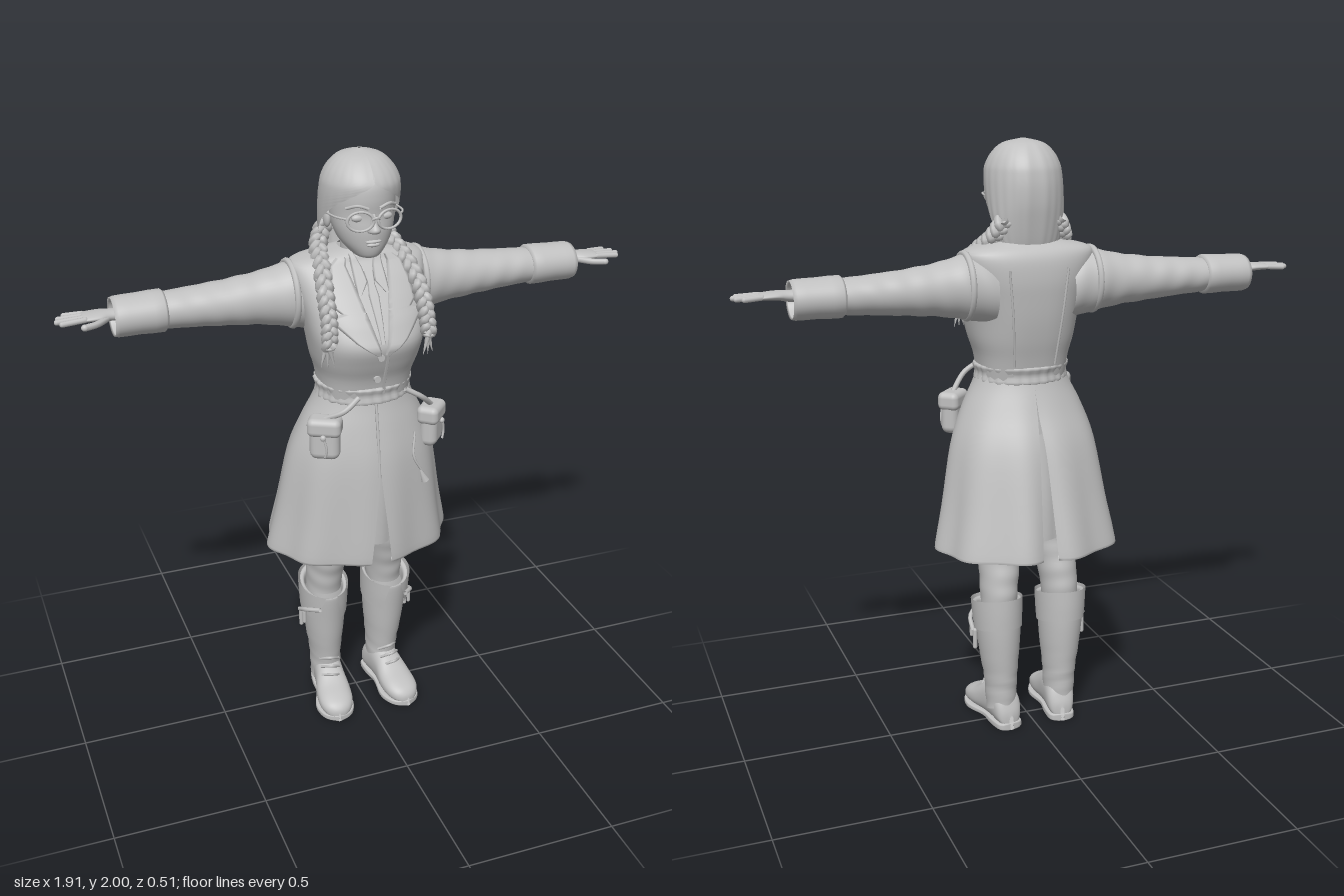
import * as THREE from 'three';
import { RoundedBoxGeometry } from 'three/addons/geometries/RoundedBoxGeometry.js';

const clay = new THREE.MeshStandardMaterial({ color: 0xc0c0c0, side: THREE.DoubleSide });
clay.name = 'plain grey';

const spline = (a, b, c, d, t) =>
  b + 0.5 * t * (c - a + t * (2 * a - 5 * b + 4 * c - d + t * (3 * (b - c) + d - a)));
const power = (v, p) => Math.sign(v) * Math.abs(v) ** p;

// Insert smooth in-between rings
function refine(rings, sub) {
  const out = [], at = i => rings[Math.max(0, Math.min(rings.length - 1, i))];
  for (let i = 0; i < rings.length - 1; i++)
    for (let s = 0; s < sub; s++)
      out.push(rings[i].map((v, k) => spline(at(i - 1)[k], v, at(i + 1)[k], at(i + 2)[k], s / sub)));
  out.push(rings[rings.length - 1]);
  return out;
}

// Surface through cross-sections: ring = [y, halfWidth, zFront, zBack, xCentre, startAngle, endAngle]
function loft(rings, { seg = 40, sub = 4, e = 2, fold = () => 1, tilt = 0, open = false } = {}) {
  const pos = [], index = [], rows = refine(rings, sub), cols = open ? seg + 1 : seg;
  for (const [y, rx, zf, zb, x = 0, a0 = 0, a1 = Math.PI * 2] of rows)
    for (let j = 0; j < cols; j++) {
      const a = a0 + (a1 - a0) * j / seg, f = fold(a, y);
      const c = power(Math.cos(a), 2 / e), s = power(Math.sin(a), 2 / e);
      pos.push(x + rx * f * s, y + tilt * c, (zf + zb) / 2 + (zf - zb) / 2 * f * c);
    }
  for (let i = 0; i < rows.length - 1; i++)
    for (let j = 0; j < seg; j++) {
      const k = (j + 1) % cols, p = i * cols, q = p + cols;
      index.push(p + j, p + k, q + k, p + j, q + k, q + j);
    }
  return finish(pos, index);
}

function finish(pos, index) {
  const g = new THREE.BufferGeometry();
  g.setAttribute('position', new THREE.Float32BufferAttribute(pos, 3));
  g.setIndex(index);
  g.computeVertexNormals();
  return g;
}

// Mirror across x and restore the corner order
function mirrored(geo) {
  const g = geo.clone().scale(-1, 1, 1);
  const n = g.attributes.position.count;
  const idx = g.index ? [...g.index.array] : Array.from({ length: n }, (_, i) => i);
  for (let i = 0; i < idx.length; i += 3) [idx[i + 1], idx[i + 2]] = [idx[i + 2], idx[i + 1]];
  g.setIndex(idx);
  return g;
}

const vec = p => new THREE.Vector3(...p);
const tube = (pts, r, n = 24) => new THREE.TubeGeometry(new THREE.CatmullRomCurve3(pts.map(vec)), n, r, 7);
const ball = (x, y, z, rx, ry, rz) => new THREE.SphereGeometry(1, 20, 14).scale(rx, ry, rz).translate(x, y, z);

const bodice = [
  [1.23, .146, .185, -.065], [1.3, .155, .2, -.08], [1.36, .172, .226, -.095], [1.43, .185, .246, -.108],
  [1.5, .197, .208, -.116], [1.56, .21, .165, -.12], [1.62, .222, .118, -.115], [1.655, .212, .085, -.1],
  [1.675, .14, .075, -.075], [1.69, .06, .06, -.055],
];
const bodiceE = 2.5;

// Front surface of the bodice at a given x and y
function chestZ(x, y) {
  let i = 0;
  while (i < bodice.length - 2 && bodice[i + 1][0] < y) i++;
  const A = bodice[i], B = bodice[i + 1], t = (y - A[0]) / (B[0] - A[0]);
  const [, rx, zf, zb] = A.map((v, k) => v + (B[k] - v) * t);
  const u = Math.min(1, Math.abs(x) / rx);
  return (zf + zb) / 2 + (zf - zb) / 2 * (1 - u ** bodiceE) ** (1 / bodiceE);
}

// Cloth laid over the chest: rows = [y, innerX, outerX], bottom to top
function drape(rows, off) {
  const pos = [], index = [], n = 8, fine = [];
  rows.forEach((r, i) => {
    if (i) for (const t of [.25, .5, .75]) fine.push(r.map((v, k) => rows[i - 1][k] + (v - rows[i - 1][k]) * t));
    fine.push(r);
  });
  // Row ends tuck back to the chest so the cloth has an edge
  for (const [y, a, b] of fine)
    for (let j = -1; j <= n + 1; j++) {
      const x = a + (b - a) * Math.max(0, Math.min(n, j)) / n;
      pos.push(x, y, chestZ(x, y) + (j < 0 || j > n ? -.01 : off));
    }
  const w = n + 3;
  for (let i = 0; i < fine.length - 1; i++)
    for (let j = 0; j < w - 1; j++) {
      const p = i * w + j;
      index.push(p, p + 1, p + w + 1, p, p + w + 1, p + w);
    }
  return finish(pos, index);
}

export function createModel() {
  const model = new THREE.Group();
  const add = (name, geo) => {
    const m = new THREE.Mesh(geo, clay);
    m.name = name;
    model.add(m);
  };
  const pair = (name, geo) => { add(name + 'Left', geo); add(name + 'Right', mirrored(geo)); };
  const PI = Math.PI;

  // Head and face
  add('neck', loft([[1.6, .065, .06, -.06], [1.66, .054, .07, -.05], [1.75, .054, .08, -.05]]));
  add('face', loft([[1.682, .004, .12, .1], [1.687, .035, .142, .06], [1.705, .056, .152, .02], [1.735, .08, .157, -.02],
    [1.775, .096, .16, -.05], [1.82, .104, .156, -.07], [1.87, .106, .16, -.08], [1.92, .1, .15, -.075],
    [1.965, .06, .1, -.03], [1.975, .005, .05, .04]]));
  add('nose', loft([[1.768, .004, .165, .14], [1.772, .019, .18, .13], [1.782, .019, .186, .13], [1.8, .012, .175, .13],
    [1.83, .008, .162, .13]]));
  add('upperLip', ball(0, 1.742, .153, .027, .006, .012));
  add('lowerLip', ball(0, 1.731, .152, .022, .007, .011));
  pair('eye', ball(.045, 1.815, .139, .021, .012, .012));
  pair('brow', tube([[.018, 1.846, .16], [.05, 1.856, .153], [.08, 1.845, .128]], .005));
  pair('ear', ball(.106, 1.795, .03, .012, .032, .02));

  // Hair, parted in the middle and open around the face
  add('hair', loft([[1.645, .085, -.0, -.07, 0, 1.95, 2 * PI - 1.95], [1.69, .108, .05, -.082, 0, 1.8, 2 * PI - 1.8],
    [1.75, .121, .09, -.094, 0, 1.6, 2 * PI - 1.6], [1.8, .126, .13, -.102, 0, 1.35, 2 * PI - 1.35],
    [1.85, .127, .157, -.104, 0, .95, 2 * PI - .95], [1.89, .125, .168, -.1, 0, .45, 2 * PI - .45],
    [1.92, .119, .165, -.092, 0, .02, 2 * PI - .02], [1.955, .1, .14, -.07, 0, 0, 2 * PI],
    [1.985, .065, .1, -.035, 0, 0, 2 * PI], [2, .004, .035, .025, 0, 0, 2 * PI]],
    { open: true, seg: 72, fold: a => 1 + .006 * Math.cos(24 * a) - .035 * Math.exp(-(((a - PI) / .12) ** 2)) }));

  // Three-strand braids with loose ends
  const path = new THREE.CatmullRomCurve3([[.085, 1.76, -.05], [.118, 1.7, -.02], [.138, 1.65, .07], [.155, 1.58, .155],
    [.16, 1.51, .2], [.165, 1.44, .215]].map(vec));
  for (let k = 0; k < 3; k++) {
    const pts = [];
    for (let i = 0; i <= 60; i++) {
      const t = i / 60, w = t * 2 * PI * 5 + k * 2 * PI / 3, p = path.getPoint(t), r = .018 - .006 * t;
      pts.push([p.x + r * Math.sin(w), p.y + r * .4 * Math.sin(2 * w), p.z + r * .8 * Math.sin(2 * w)]);
    }
    pair('braidStrand' + (k + 1), tube(pts, .0145, 110));
    pair('braidTip' + (k + 1), new THREE.ConeGeometry(.011, .075, 8).rotateX(PI)
      .rotateZ((k - 1) * .25).translate(.167 + (k - 1) * .011, 1.405, .212 - k * .008));
  }
  pair('braidTie', new THREE.TorusGeometry(.014, .006, 8, 16).rotateX(PI / 2).translate(.166, 1.44, .213));

  // Glasses
  pair('lensRim', new THREE.TorusGeometry(.035, .0045, 8, 32).scale(1.15, .85, 1).rotateY(.2).translate(.047, 1.812, .168));
  add('glassesBridge', tube([[-.012, 1.818, .177], [0, 1.823, .183], [.012, 1.818, .177]], .004));
  pair('glassesArm', tube([[.085, 1.82, .158], [.108, 1.82, .12], [.116, 1.815, .03]], .0035));

  // Coat bodice, belt and skirt
  add('coatBodice', loft(bodice, { seg: 56, e: bodiceE }));
  add('belt', loft([[1.215, .148, .188, -.07], [1.22, .158, .198, -.078], [1.245, .154, .194, -.074], [1.268, .161, .201, -.083],
    [1.273, .146, .18, -.07]], { seg: 120, sub: 3, fold: a => 1 + .012 * Math.sin(30 * a) + .006 * Math.sin(17 * a) }));
  const skirtFold = (a, y) => {
    const h = Math.max(0, Math.min(1, (1.2 - y) / .5));
    return 1 + .028 * h * Math.sin(9 * a + .6) - .1 * h * Math.exp(-(((PI - a) / .14) ** 2));
  };
  pair('coatSkirt', loft([[.67, .308, .236, -.24, 0, .11, PI - .09], [.664, .314, .246, -.248, 0, .11, PI - .09],
    [.8, .286, .243, -.217, 0, .07, PI - .075], [1, .25, .232, -.165, 0, 0, PI - .045],
    [1.12, .208, .212, -.112, 0, 0, PI - .01], [1.2, .168, .194, -.08, 0, 0, PI], [1.25, .148, .185, -.066, 0, 0, PI]],
    { open: true, seg: 60, fold: skirtFold }));
  add('underskirt', loft([[.69, .18, .18, -.13], [.85, .18, .18, -.12], [1.05, .17, .17, -.09]],
    { seg: 48, fold: a => 1 + .03 * Math.sin(12 * a) }));
  add('skirtFrontEdge', tube([[-.004, 1.22, .197], [-.004, 1.1, .218], [-.004, .97, .235]], .005));
  pair('backSeam', tube([[.1, 1.6, -.118], [.085, 1.45, -.108], [.07, 1.28, -.077]], .004));

  // Lapels, collars and front closing
  pair('lapel', drape([[1.405, .008, .02], [1.45, .018, .085], [1.515, .034, .155], [1.53, .038, .1]], .016));
  pair('coatCollar', drape([[1.532, .04, .115], [1.55, .043, .138], [1.6, .056, .132], [1.655, .07, .115], [1.674, .065, .09]], .014));
  pair('shirtCollar', drape([[1.575, .042, .05], [1.61, .012, .052], [1.65, .02, .05], [1.682, .035, .05]], .012));
  add('necktie', drape([[1.44, -.006, .006], [1.57, -.016, .016], [1.6, -.011, .011], [1.635, -.016, .016]], .007));
  add('coatFrontEdge', drape([[1.25, .018, .026], [1.405, .014, .022]], .007));
  for (const y of [1.31, 1.395])
    add('coatButton', new THREE.CylinderGeometry(.011, .011, .012, 16).rotateX(PI / 2).translate(-.006, y, chestZ(0, y) + .006));

  // Sleeves run along y, then turn to point sideways: [x, top, bottom, zFront, zBack]
  const along = rows => rows.map(([x, t, b, zf, zb]) => [x, (t - b) / 2, zf, zb, -(t + b) / 2]);
  pair('sleeve', loft(along([[.13, 1.63, 1.42, .08, -.11], [.22, 1.645, 1.437, .074, -.113], [.3, 1.627, 1.453, .057, -.106],
    [.42, 1.61, 1.465, .047, -.104], [.54, 1.6, 1.475, .04, -.1], [.65, 1.592, 1.482, .034, -.094]]),
    { sub: 10, fold: (a, y) => 1 + .018 * Math.sin(75 * y + 2 * Math.sin(a)) * Math.sin(a + 9 * y) }).rotateZ(-PI / 2));
  pair('cuff', loft(along([[.618, 1.59, 1.49, .03, -.09], [.625, 1.604, 1.472, .046, -.105], [.7, 1.601, 1.474, .044, -.102],
    [.768, 1.599, 1.473, .042, -.1], [.775, 1.59, 1.482, .034, -.092], [.7, 1.575, 1.495, .02, -.08]]),
    { sub: 2 }).rotateZ(-PI / 2));
  pair('armholeSeam', new THREE.TorusGeometry(.103, .011, 8, 40).rotateY(PI / 2).scale(1, 1, .92).translate(.217, 1.545, -.018));

  // Hands
  pair('palm', loft(along([[.7, 1.565, 1.525, .005, -.05], [.78, 1.566, 1.53, .008, -.046], [.82, 1.566, 1.538, .022, -.056],
    [.865, 1.562, 1.54, .02, -.056], [.875, 1.555, 1.545, .01, -.046]])).rotateZ(-PI / 2));
  [[.012, .07, .08], [-.008, .082, .02], [-.028, .075, -.05], [-.047, .055, -.14]].forEach(([z, len, turn], i) =>
    pair('finger' + (i + 1), new THREE.CapsuleGeometry(.0088, len, 6, 10).rotateZ(-PI / 2).translate(len / 2, 0, 0)
      .rotateZ(-.05).rotateY(-turn).translate(.866, 1.552, z)));
  pair('thumb', tube([[.8, 1.545, .005], [.835, 1.543, .035], [.875, 1.543, .053]], .0105));
  pair('thumbTip', ball(.875, 1.543, .053, .0115, .0105, .0105));

  // Belt pouches
  for (const [side, x, y, z, turn, beltX, beltZ] of [['Right', -.17, 1.125, .176, -.5, -.065, .195], ['Left', .212, 1.1, .142, .85, .1, .18]]) {
    const put = (name, g) => add(name + side, g.rotateY(turn).translate(x, y, z));
    put('pouch', new RoundedBoxGeometry(.098, .13, .06, 4, .025).translate(0, -.012, 0));
    put('pouchFlap', new RoundedBoxGeometry(.11, .062, .074, 4, .02).translate(0, .035, 0));
    put('pouchButton', ball(0, .008, .038, .01, .01, .008));
    put('pouchCord', tube([[.005, 0, .04], [.012, -.035, .04], [.006, -.06, .038]], .004));
    add('pouchStrap' + side, tube([[beltX, 1.25, beltZ + .006], [(beltX + x) / 2, 1.215, (beltZ + z) / 2 + .025], [x, y + .06, z]], .009));
  }
  add('hangingCord', tube([[.13, 1.1, .2], [.12, 1.02, .222], [.145, .97, .222]], .004));
  add('cordTassel', new THREE.ConeGeometry(.014, .06, 8).rotateZ(.4).translate(.15, .955, .222));

  // Trouser legs with soft creases
  pair('trouserLeg', loft([[.44, .06, .045, -.1, .112], [.5, .063, .055, -.1, .11], [.56, .067, .07, -.092, .105],
    [.66, .077, .094, -.076, .098], [.78, .088, .105, -.085, .096], [.95, .09, .11, -.09, .094]],
    { sub: 8, fold: (a, y) => 1 + .018 * Math.sin(90 * y + 2 * Math.cos(a)) * Math.cos(a - .5) }));

  // Boots
  pair('bootShaft', loft([[.06, .05, .025, -.098, .108], [.12, .053, .034, -.1, .108], [.18, .056, .037, -.105, .109],
    [.28, .068, .053, -.114, .112], [.36, .075, .064, -.118, .114], [.45, .08, .077, -.117, .116], [.458, .077, .073, -.113, .116],
    [.45, .066, .062, -.102, .115], [.41, .064, .056, -.1, .115]],
    { tilt: -.022, fold: (a, y) => 1 + (y < .25 ? .02 * Math.sin(110 * y + a) : 0) }));
  pair('bootCuff', loft([[.36, .081, .07, -.122, .115, .75, PI * 2 - .45], [.41, .084, .078, -.123, .116, .5, PI * 2 - .35],
    [.467, .087, .084, -.122, .117, .25, PI * 2 - .2]], { open: true, tilt: -.02 }));
  pair('bootStrap', tube([[.16, .4, .075], [.196, .385, .03], [.205, .36, -.02]], .008));
  pair('bootTassel', new THREE.CapsuleGeometry(.008, .06, 4, 8).translate(.198, .325, -.025));
  pair('bootTasselShort', new THREE.CapsuleGeometry(.007, .04, 4, 8).translate(.198, .345, .012));
  const place = g => g.rotateY(.12).translate(.108, 0, 0);
  const footRow = ([z, rx, h, low = .008]) => [z, rx, -low, -h, 0];
  pair('bootFoot', place(loft([[-.108, .008, .05], [-.1, .034, .08], [-.075, .048, .13], [-.02, .05, .155], [.035, .053, .135],
    [.09, .061, .098], [.14, .059, .078], [.172, .045, .062], [.188, .024, .045], [.193, .004, .03]].map(footRow),
    { e: 2.3 }).rotateX(PI / 2)));
  pair('bootSole', place(loft([[-.112, .006, .024, 0], [-.1, .042, .026, 0], [-.04, .05, .026, 0], [.02, .049, .024, .004],
    [.1, .067, .022, 0], [.15, .06, .022, 0], [.18, .04, .022, 0], [.196, .005, .022, 0]].map(footRow), { e: 5 }).rotateX(PI / 2)));
  for (let i = 0; i < 4; i++) {
    const y = .112 + i * .024, z = .078 - i * .017;
    pair('bootLace' + (i + 1), place(tube([[-.034, y - .012, z - .022], [0, y + .01, z + .004], [.034, y - .004, z - .022]], .005)));
  }
  return model;
}
